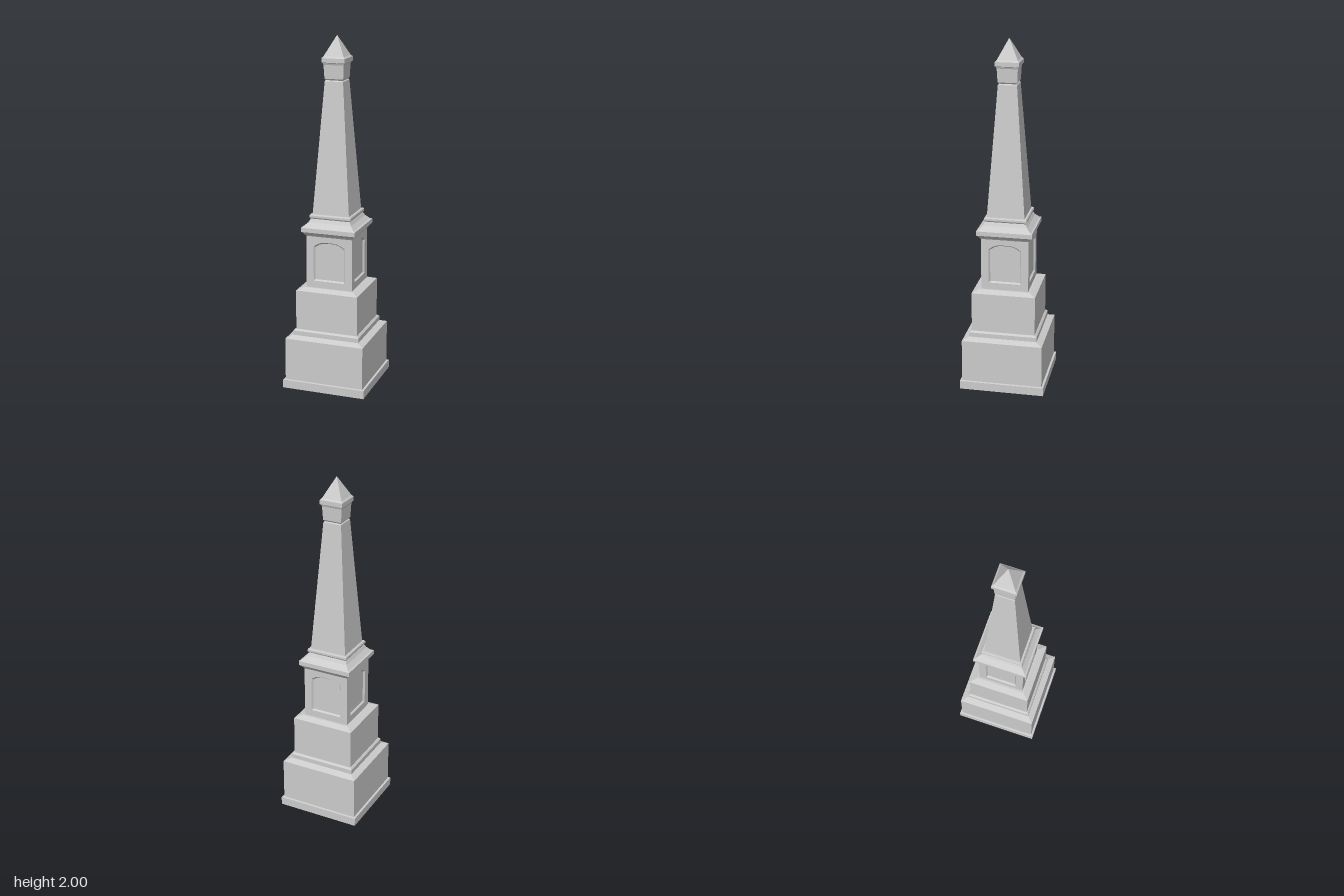
import * as THREE from 'three';

const material = new THREE.MeshStandardMaterial({ color: 0xcccccc, flatShading: true });

// Stack of square mouldings from a profile of [half width, height]
function squareTurned(name, profile) {
  const points = profile.map(([half, y]) => new THREE.Vector2(half * Math.SQRT2, y));
  const geometry = new THREE.LatheGeometry(points, 4, Math.PI / 4).toNonIndexed();
  geometry.computeVertexNormals();
  const mesh = new THREE.Mesh(geometry, material);
  mesh.name = name;
  return mesh;
}

// Arched panel outline, counter-clockwise, shrunk by an inset
function panelOutline(inset) {
  const right = [[0.092, 0.63], [0.092, 0.832], [0.082, 0.838], [0.066, 0.849], [0.046, 0.856], [0.02, 0.859]];
  const left = right.map(([x, y]) => [-x, y]).reverse();
  const midY = 0.745, sx = 1 - inset / 0.092, sy = 1 - inset / 0.115;
  return [...right, ...left].map(([x, y]) => new THREE.Vector2(x * sx, midY + (y - midY) * sy));
}

// Sloping reveal joining two outlines at different depths
function revealGeometry(outer, zOuter, inner, zInner) {
  const positions = [];
  for (let i = 0; i < outer.length; i++) {
    const j = (i + 1) % outer.length;
    const a = [outer[i].x, outer[i].y, zOuter], b = [outer[j].x, outer[j].y, zOuter];
    const c = [inner[j].x, inner[j].y, zInner], d = [inner[i].x, inner[i].y, zInner];
    positions.push(...a, ...b, ...c, ...a, ...c, ...d);
  }
  const geometry = new THREE.BufferGeometry();
  geometry.setAttribute('position', new THREE.Float32BufferAttribute(positions, 3));
  geometry.computeVertexNormals();
  return geometry;
}

export function createModel() {
  const model = new THREE.Group();
  model.name = 'obelisk';

  // Plinth and two stepped blocks
  model.add(squareTurned('steppedBase', [
    [0, 0], [0.243, 0], [0.243, 0.048], [0.231, 0.05], [0.231, 0.297],
    [0.195, 0.312], [0.195, 0.338], [0.186, 0.347], [0.182, 0.347],
    [0.182, 0.576], [0.146, 0.59], [0.135, 0.59],
  ]));

  // Four faces of the pedestal, each with a sunken arched panel
  const half = 0.135, bottom = 0.59, top = 0.89, sunk = 0.125;
  const outer = panelOutline(0), inner = panelOutline(0.007);
  const face = new THREE.Shape([
    new THREE.Vector2(-half, bottom), new THREE.Vector2(half, bottom),
    new THREE.Vector2(half, top), new THREE.Vector2(-half, top),
  ]);
  face.holes.push(new THREE.Path(outer));
  const parts = {
    pedestalFace: new THREE.ShapeGeometry(face).translate(0, 0, half),
    panelReveal: revealGeometry(outer, half, inner, sunk),
    sunkenPanel: new THREE.ShapeGeometry(new THREE.Shape(inner)).translate(0, 0, sunk),
  };
  for (let i = 0; i < 4; i++) {
    const side = new THREE.Group();
    side.name = 'pedestalSide' + (i + 1);
    for (const [name, geometry] of Object.entries(parts)) {
      const mesh = new THREE.Mesh(geometry, material);
      mesh.name = name;
      side.add(mesh);
    }
    side.rotation.y = i * Math.PI / 2;
    model.add(side);
  }

  // Cornice with sloping top and a rounded band under the shaft
  model.add(squareTurned('cornice', [
    [0.135, 0.89], [0.14, 0.897], [0.153, 0.913], [0.158, 0.916], [0.158, 0.941],
    [0.148, 0.945], [0.126, 0.967], [0.115, 0.987], [0.118, 0.99], [0.121, 0.995],
    [0.121, 1.006], [0.117, 1.012], [0.107, 1.012],
  ]));

  // Tapering shaft
  model.add(squareTurned('shaft', [[0.107, 1.012], [0.053, 1.752], [0.048, 1.758]]));

  // Capital, collar and pyramid point
  model.add(squareTurned('capital', [
    [0.048, 1.758], [0.054, 1.766], [0.058, 1.842], [0.062, 1.852], [0.067, 1.855],
    [0.067, 1.879], [0.058, 1.888], [0, 2],
  ]));

  return model;
}
